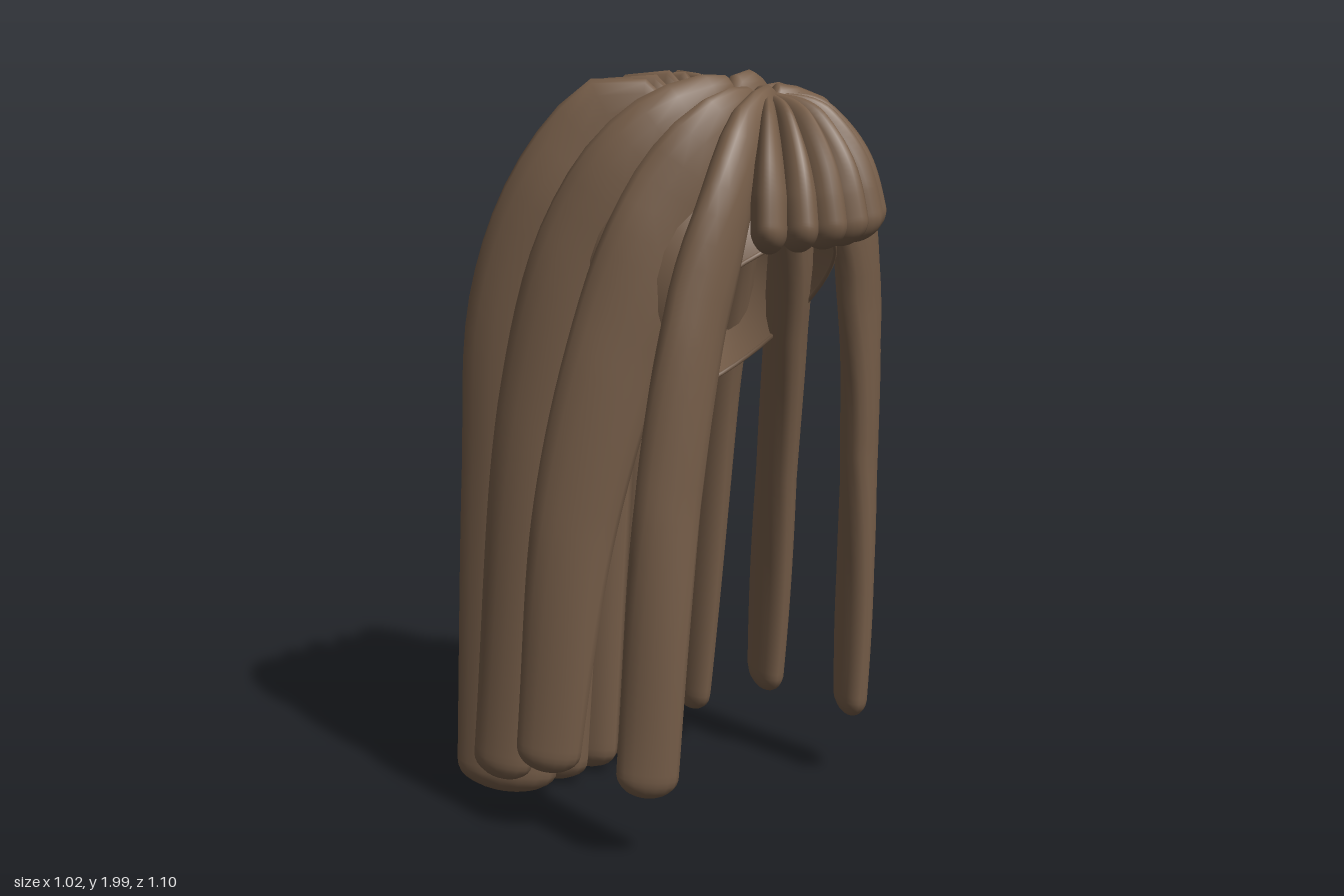
import * as THREE from 'three';

const hair = new THREE.MeshStandardMaterial({ color: 0x785f4a, side: THREE.DoubleSide });
hair.name = 'brown hair';

const SIDES = 16, STEPS = 46, UP = new THREE.Vector3(0, 1, 0);
const { lerp, smoothstep, degToRad } = THREE.MathUtils;

// Sweeps an ellipse along a path. The wide axis lies in the plane of the bend,
// the thin axis stays horizontal, the upper part swells and the tip is rounded off.
function strand(name, points, wide, thin, { wideStart, thinStart, wideRamp, thinRamp, wideSwell, thinSwell, tip }) {
  const curve = new THREE.CatmullRomCurve3(points.map((p) => new THREE.Vector3(...p)));
  const length = curve.getLength();
  const pos = [], index = [];
  for (let i = 0; i <= STEPS; i++) {
    // rings get closer towards the tip; the first ring closes the root
    const t = Math.sin((Math.max(0, i - 1) / (STEPS - 1)) * Math.PI / 2);
    const p = curve.getPointAt(t), T = curve.getTangentAt(t);
    const S = new THREE.Vector3().crossVectors(T, UP).normalize();
    const N = new THREE.Vector3().crossVectors(S, T);
    const left = Math.min(1, (1 - t) * length / tip);
    const round = i === 0 ? 0 : Math.sqrt(Math.max(0, 1 - (1 - left) ** 2));
    const swell = Math.sin(Math.PI * t ** 0.48);
    const w = wide * round * lerp(wideStart, 1, smoothstep(t, 0, wideRamp)) * (1 + wideSwell * swell);
    const h = thin * round * lerp(thinStart, 1, Math.min(1, t / thinRamp)) * (1 + thinSwell * swell);
    for (let j = 0; j < SIDES; j++) {
      const a = (j / SIDES) * Math.PI * 2;
      const v = p.clone().addScaledVector(N, w * Math.cos(a)).addScaledVector(S, h * Math.sin(a));
      pos.push(v.x, v.y, v.z);
      if (i < STEPS) {
        const k = (j + 1) % SIDES, r = i * SIDES, q = r + SIDES;
        index.push(r + j, r + k, q + j, r + k, q + k, q + j);
      }
    }
  }
  const geo = new THREE.BufferGeometry();
  geo.setAttribute('position', new THREE.Float32BufferAttribute(pos, 3));
  geo.setIndex(index);
  geo.computeVertexNormals();
  const mesh = new THREE.Mesh(geo, hair);
  mesh.name = name;
  return mesh;
}

export function createModel() {
  const model = new THREE.Group();
  model.name = 'longHair';

  // scalp cap: dome cut by a plane that rises towards the forehead, with a thin rim
  const R = 0.39, CUT = 2.085, TILT = 0.8;
  const dome = new THREE.SphereGeometry(R, 40, 24, 0, Math.PI * 2, 0, CUT);
  const rim = new THREE.TorusGeometry(R * Math.sin(CUT), 0.006, 6, 48);
  rim.rotateX(Math.PI / 2);
  rim.translate(0, R * Math.cos(CUT), 0);
  for (const [name, geo] of [['scalpCap', dome], ['capRim', rim]]) {
    geo.rotateX(-TILT);
    geo.scale(0.89, 1, 1);
    const mesh = new THREE.Mesh(geo, hair);
    mesh.name = name;
    mesh.position.set(0, 1.485, 0.025);
    model.add(mesh);
  }

  // five long back locks fanning out from the crown
  const backStyle = { wideStart: 0.35, thinStart: 0.35, wideRamp: 0.06, thinRamp: 0.18, wideSwell: 0.2, thinSwell: 0.38, tip: 0.07 };
  const backPath = [[0.03, 1.87], [-0.085, 1.852], [-0.225, 1.675], [-0.328, 1.38], [-0.362, 0.9], [-0.408, 0.003]];
  for (let k = -2; k <= 2; k++) {
    const path = backPath.map(([z, y], i) => [
      k * lerp(0.036, 0.145, (0.03 - z) / 0.44),
      y - (i < 4 ? 0.008 * Math.abs(k) : 0),
      z,
    ]);
    model.add(strand('backLock', path, 0.142, 0.061, backStyle));
  }

  // three mirrored pairs of side locks, from front to back
  const sideStyle = { wideStart: 0.8, thinStart: 0.75, wideRamp: 0.1, thinRamp: 0.12, tip: 0.06 };
  const sideLocks = [
    { name: 'frontSideLock', wide: 0.08, wideSwell: 0.1, thinSwell: 0.35, path: [[0, 1.91, 0.28], [0.12, 1.86, 0.31], [0.25, 1.68, 0.335], [0.34, 1.4, 0.315], [0.4, 0.95, 0.28], [0.435, 0.18, 0.235]] },
    { name: 'middleSideLock', wide: 0.085, wideSwell: 0.55, thinSwell: 0.4, path: [[0, 1.9, 0.23], [0.14, 1.83, 0.225], [0.262, 1.63, 0.15], [0.35, 1.3, 0.065], [0.42, 0.85, -0.02], [0.46, 0.18, -0.09]] },
    { name: 'rearSideLock', wide: 0.085, wideSwell: 0.5, thinSwell: 0.7, path: [[0, 1.92, 0.155], [0.115, 1.88, 0.125], [0.225, 1.765, 0.025], [0.3, 1.54, -0.09], [0.355, 1.1, -0.2], [0.395, 0.09, -0.32]] },
  ];
  for (const { name, wide, wideSwell, thinSwell, path } of sideLocks) {
    for (const s of [1, -1]) {
      const mirrored = path.map(([x, y, z]) => [s * x, y, z]);
      model.add(strand(name, mirrored, wide, 0.042, { ...sideStyle, wideSwell, thinSwell }));
    }
  }

  // short fringe: six locks fanning over the forehead, the outer ones reaching further
  const fringeStyle = { wideStart: 0.5, thinStart: 0.3, wideRamp: 0.3, thinRamp: 0.7, wideSwell: 0.1, thinSwell: 0, tip: 0.06 };
  for (const [deg, reach] of [[50, 1.2], [31, 1.12], [10, 1.06]]) {
    for (const s of [1, -1]) {
      const a = degToRad(s * deg);
      const path = [[0, 1.92], [0.08, 1.87], [0.165, 1.76], [0.215, 1.575]]
        .map(([r, y]) => [r * reach * Math.sin(a), y, 0.27 + r * reach * Math.cos(a)]);
      model.add(strand('fringeLock', path, 0.072, 0.046, fringeStyle));
    }
  }
  return model;
}
